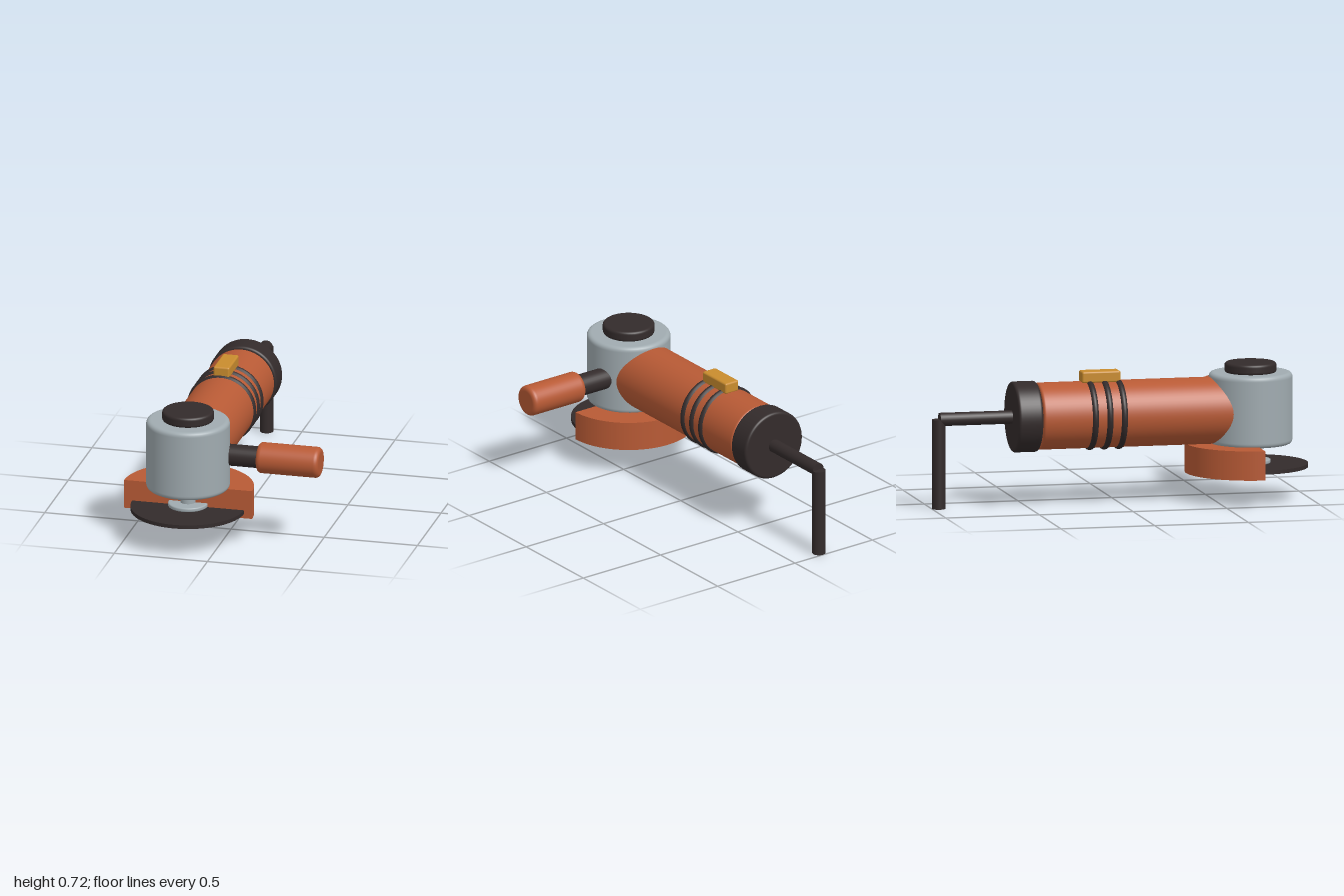
import * as THREE from 'three';
import { RoundedBoxGeometry } from 'three/addons/geometries/RoundedBoxGeometry.js';

const material = (name, color) => {
  const m = new THREE.MeshStandardMaterial({ color });
  m.name = name;
  return m;
};

// Upright cylinder of height h, centred on the origin, with edges rounded by b
function roundedCylinder(r, h, b, segments = 48) {
  const pts = [[0, -h / 2], [r - b * 1.2, -h / 2]];
  for (let i = 0; i <= 5; i++) {
    const a = -Math.PI / 2 + (i / 5) * Math.PI / 2;
    pts.push([r - b + b * Math.cos(a), -h / 2 + b + b * Math.sin(a)]);
  }
  pts.push([r, -h / 2 + b * 1.2]);
  const upper = pts.map(([x, y]) => [x, -y]).reverse();
  return new THREE.LatheGeometry([...pts, ...upper].map(p => new THREE.Vector2(...p)), segments);
}

export function createModel() {
  const model = new THREE.Group();
  model.name = 'angleGrinder';
  const orange = material('orange', 0xb85a35);
  const grey = material('grey', 0xa0abb0);
  const dark = material('dark', 0x332b2b);
  const amber = material('amber', 0xc98c2e);

  const X = -0.18, Y = 0.47, Z = 0.7; // body axis and spindle position
  const add = (name, geometry, mat, x, y, z) => {
    const mesh = new THREE.Mesh(geometry, mat);
    mesh.name = name;
    mesh.position.set(x, y, z);
    model.add(mesh);
    return mesh;
  };
  const cylinder = (r, h, n = 48) => new THREE.CylinderGeometry(r, r, h, n);

  // Gear head and its cap
  add('gearHead', roundedCylinder(0.218, 0.376, 0.022, 64), grey, X, 0.478, Z);
  add('headCap', roundedCylinder(0.135, 0.056, 0.014), dark, X, 0.69, Z);

  // Spindle, flange, disc and hexagonal nut
  add('spindle', cylinder(0.04, 0.13, 32), grey, X, 0.245, Z);
  add('flange', roundedCylinder(0.105, 0.022, 0.007), grey, X, 0.197, Z);
  add('cuttingDisc', cylinder(0.3, 0.02, 64), dark, X, 0.177, Z);
  add('nut', cylinder(0.076, 0.046, 6).rotateY(Math.PI / 6).toNonIndexed(), grey, X, 0.145, Z);

  // Half-round guard behind the spindle
  const half = new THREE.Shape();
  half.absarc(0, 0, 0.343, 0, Math.PI, false);
  half.closePath();
  const guard = new THREE.ExtrudeGeometry(half, { depth: 0.154, bevelEnabled: false, curveSegments: 40 });
  add('guard', guard.rotateX(-Math.PI / 2), orange, X, 0.143, Z);

  // Motor body and end cap
  add('body', roundedCylinder(0.175, 1.04, 0.012, 64).rotateX(Math.PI / 2), orange, X, Y, 0.08);
  add('endCap', roundedCylinder(0.185, 0.13, 0.014, 64).rotateX(Math.PI / 2), dark, X, Y, -0.51);

  // Grip rings and switch
  for (const z of [-0.01, -0.087, -0.165]) {
    add('gripRing', new THREE.TorusGeometry(0.168, 0.018, 12, 64), dark, X, Y, z);
  }
  add('switch', new RoundedBoxGeometry(0.086, 0.06, 0.206, 2, 0.01), amber, X, 0.67, -0.105);

  // Power cord, bending down to the ground
  add('cordAcross', cylinder(0.035, 0.41, 24).rotateX(Math.PI / 2), dark, X, Y, -0.755);
  add('cordDown', cylinder(0.035, 0.47, 24), dark, X, 0.235, -0.965);

  // Side handle
  add('handleRod', cylinder(0.057, 0.22, 32).rotateZ(Math.PI / 2), dark, 0.1, Y, 0.65);
  add('handleGrip', roundedCylinder(0.081, 0.335, 0.022).rotateZ(Math.PI / 2), orange, 0.353, Y, 0.65);

  return model;
}
